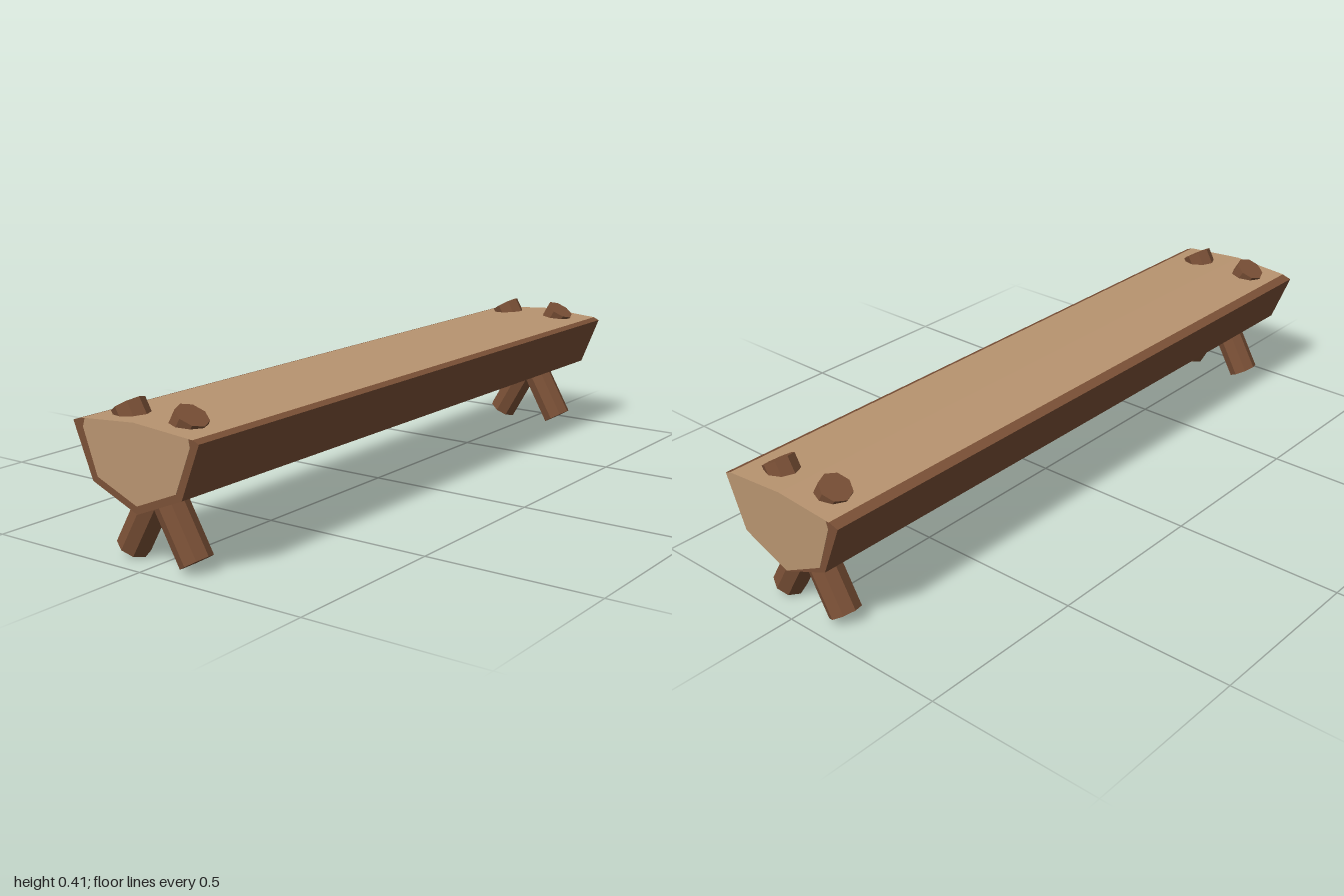
import * as THREE from 'three';

const LENGTH = 2;

// Extrudes an x/y outline along z, from z0 to z1
function prism(name, points, z0, z1, material) {
  const shape = new THREE.Shape(points.map(([x, y]) => new THREE.Vector2(x, y)));
  const geometry = new THREE.ExtrudeGeometry(shape, { depth: z1 - z0, bevelEnabled: false });
  geometry.translate(0, 0, z0);
  const mesh = new THREE.Mesh(geometry, material);
  mesh.name = name;
  return mesh;
}

export function createModel() {
  const bark = new THREE.MeshStandardMaterial({ color: 0x7a5036 });
  bark.name = 'bark';
  const wood = new THREE.MeshStandardMaterial({ color: 0xb89470 });
  wood.name = 'cut wood';

  const bench = new THREE.Group();
  bench.name = 'logBench';
  const half = LENGTH / 2;
  const skin = 0.002;

  // Half log with bevelled upper edges
  bench.add(prism('log', [
    [0, 0.148], [0.147, 0.208], [0.207, 0.355], [0.188, 0.363],
    [0, 0.372], [-0.177, 0.364], [-0.207, 0.355], [-0.147, 0.208],
  ], -half + skin, half - skin, bark));

  // Bare, slightly ridged seat
  bench.add(prism('seat', [
    [-0.177, 0.364], [0, 0.365], [0.188, 0.363], [0, 0.377],
  ], -half, half, wood));

  // Sawn ends: a bark rim with the cut face on it
  const rim = [
    [0, 0.148], [0.147, 0.208], [0.207, 0.355], [0.188, 0.363],
    [0, 0.376], [-0.177, 0.364], [-0.207, 0.355], [-0.147, 0.208],
  ];
  const frontCut = [
    [0, 0.169], [0.13, 0.222], [0.179, 0.342], [0.175, 0.364],
    [0, 0.377], [-0.166, 0.365], [-0.173, 0.342], [-0.13, 0.222],
  ];
  const backCut = [
    [0, 0.15], [0.146, 0.209], [0.205, 0.355], [0.188, 0.363],
    [0, 0.377], [-0.166, 0.365], [-0.173, 0.342], [-0.13, 0.215],
  ];
  bench.add(prism('frontRim', rim, half - 2 * skin, half - skin / 2, bark));
  bench.add(prism('backRim', rim, -half + skin / 2, -half + 2 * skin, bark));
  bench.add(prism('frontCut', frontCut, half - skin, half, wood));
  bench.add(prism('backCut', backCut, -half, -half + skin, wood));

  // Crossed pairs of octagonal legs that poke through the seat
  const flatBark = bark;
  const legGeometry = new THREE.CylinderGeometry(0.045, 0.045, 0.426, 8).toNonIndexed();
  legGeometry.computeVertexNormals();
  for (const z of [-0.91, 0.91]) {
    for (const side of [-1, 1]) {
      const leg = new THREE.Mesh(legGeometry, flatBark);
      leg.name = (z > 0 ? 'front' : 'back') + (side > 0 ? 'Left' : 'Right') + 'Leg';
      leg.position.set(0, 0.2085, z);
      leg.rotation.z = side * Math.PI / 6;
      bench.add(leg);
    }
  }
  return bench;
}
